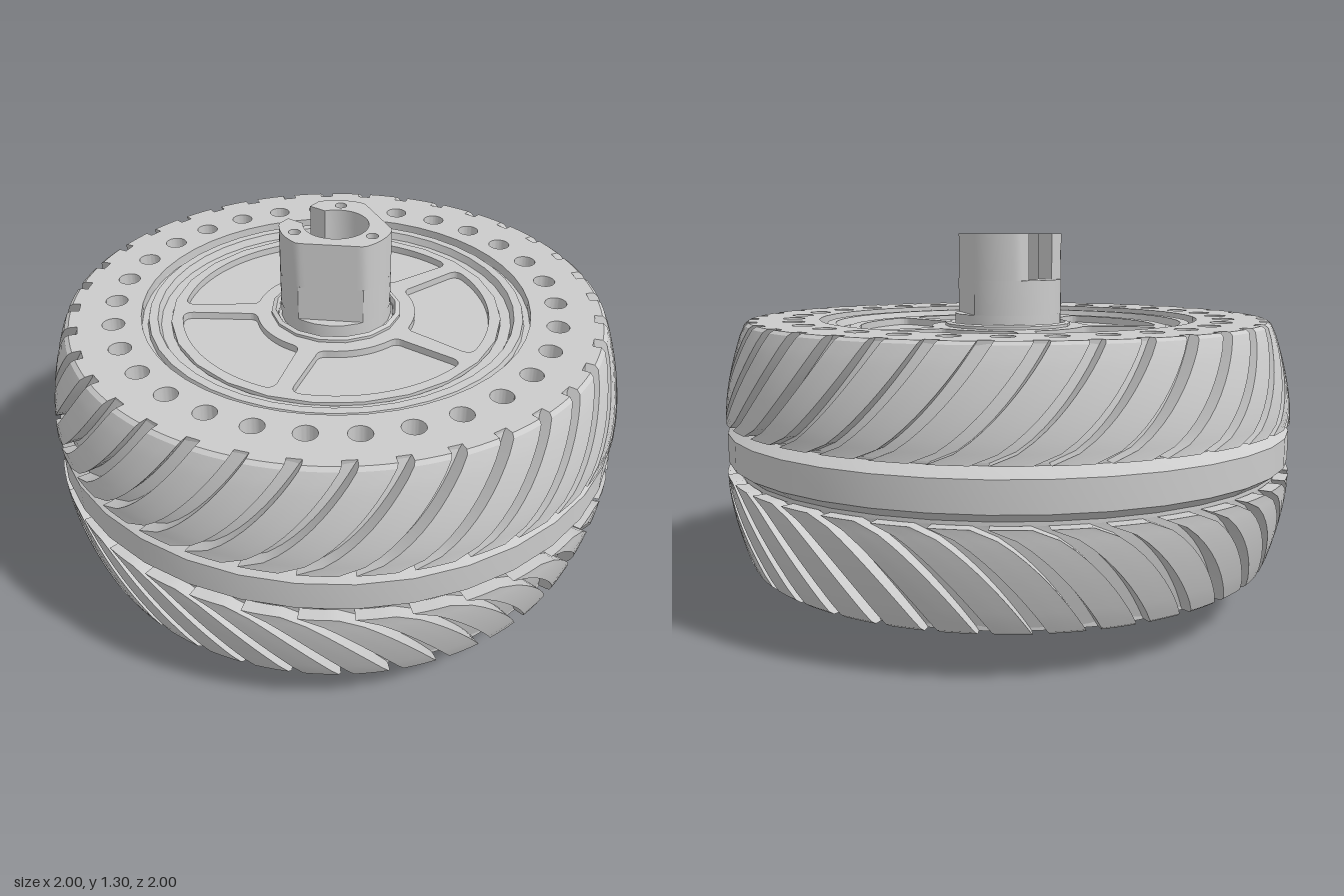
import * as THREE from 'three';
import { toCreasedNormals } from 'three/addons/utils/BufferGeometryUtils.js';

const PI = Math.PI, TAU = PI * 2;
const MID = 0.578, HALF = 0.425; // tyre centre height and half width
const material = new THREE.MeshStandardMaterial({ color: 0xcccccc });

function addMesh(parent, name, geometry, crease = 0.5) {
  const mesh = new THREE.Mesh(toCreasedNormals(geometry, crease), material);
  mesh.name = name;
  parent.add(mesh);
  return mesh;
}

const polar = (r, a) => new THREE.Vector2(r * Math.cos(a), r * Math.sin(a));

function circle(r, x = 0, y = 0, Type = THREE.Path) {
  return new Type().absarc(x, y, r, 0, TAU, false);
}

// Upright prism from a plan shape (shape y points to -z)
function prism(shape, y0, y1, curveSegments = 12) {
  return new THREE.ExtrudeGeometry(shape, { depth: y1 - y0, bevelEnabled: false, curveSegments })
    .rotateX(-PI / 2).translate(0, y0, 0);
}

function lathe(points, segments) {
  return new THREE.LatheGeometry(points.map(([r, y]) => new THREE.Vector2(r, y)), segments);
}

// Swept tread blocks with grooves between them; s = 1 upper half, -1 lower half
function treadGeometry(s) {
  const count = 36, steps = 10, near = 0.09;
  const outer = t => 1 - 0.075 * t ** 1.7, inner = t => 0.955 - 0.075 * t ** 1.5;
  const rows = [{ t: 0, out: inner(0), inn: inner(0) }];
  for (let k = 0; k < steps; k++) {
    const t = k / steps * 0.96;
    rows.push({ t, out: outer(t), inn: inner(t) });
  }
  rows.push({ t: 0.97, out: 0.926, inn: inner(0.97) },
    { t: 1, out: 0.912, inn: 0.88 }, { t: 1, out: 0.88, inn: 0.88 });
  const pitch = [[0, 0], [0, 1], [0.23, 1], [0.46, 1], [0.7, 1], [0.7, 0], [0.85, 0]];
  const columns = [];
  for (let i = 0; i < count; i++) pitch.forEach(([u, raised]) => columns.push([(i + u) / count * TAU, raised]));
  columns.push([TAU, 0]);
  const point = ([a, raised], { t, out, inn }) => {
    const r = raised ? out : inn, angle = a + 0.36 * t ** 0.65;
    return new THREE.Vector3(r * Math.sin(angle), MID + s * (near + (HALF - near) * t), r * Math.cos(angle));
  };
  const positions = [];
  const triangle = (a, b, c) => {
    if (new THREE.Triangle(a, b, c).getArea() < 1e-8) return;
    (s > 0 ? [a, b, c] : [a, c, b]).forEach(p => positions.push(p.x, p.y, p.z));
  };
  for (let i = 0; i < columns.length - 1; i++) {
    for (let j = 0; j < rows.length - 1; j++) {
      const a = point(columns[i], rows[j]), b = point(columns[i + 1], rows[j]);
      const c = point(columns[i + 1], rows[j + 1]), d = point(columns[i], rows[j + 1]);
      triangle(a, b, c);
      triangle(a, c, d);
    }
  }
  const geometry = new THREE.BufferGeometry();
  geometry.setAttribute('position', new THREE.Float32BufferAttribute(positions, 3));
  return geometry;
}

// Rounded sector-shaped window between two ribs
function windowPath(a, b) {
  const ri = 0.275, ro = 0.53, c = 0.035, gi = 0.03 / ri, go = 0.03 / ro;
  const path = new THREE.Path();
  const to = (r, t) => { const p = polar(r, t); path.lineTo(p.x, p.y); };
  const corner = (r, t, r2, t2) => {
    const p = polar(r, t), q = polar(r2, t2);
    path.quadraticCurveTo(p.x, p.y, q.x, q.y);
  };
  const start = polar(ri + c, a + gi);
  path.moveTo(start.x, start.y);
  to(ro - c, a + go);
  corner(ro, a + go, ro, a + go + c / ro);
  path.absarc(0, 0, ro, a + go + c / ro, b - go - c / ro, false);
  corner(ro, b - go, ro - c, b - go);
  to(ri + c, b - gi);
  corner(ri, b - gi, ri, b - gi - c / ri);
  path.absarc(0, 0, ri, b - gi - c / ri, a + gi + c / ri, true);
  corner(ri, a + gi, ri + c, a + gi);
  return path;
}

// Radius of the axle outline, cut by flats facing the given angles
function axleRadius(angle, flats) {
  return flats.reduce((r, f) => {
    const c = Math.cos(angle - f);
    return c > 0 ? Math.min(r, 0.155 / c) : r;
  }, 0.19);
}

function axleOutline(flats, from, to, n = 72) {
  return Array.from({ length: n + 1 }, (_, i) => {
    const a = from + (to - from) * i / n;
    return polar(axleRadius(a, flats), a);
  });
}

function buildTyre() {
  const tyre = new THREE.Group();
  tyre.name = 'tyre';
  // Body with a ring of through holes
  const ring = circle(0.885, 0, 0, THREE.Shape);
  ring.holes.push(circle(0.67));
  for (let i = 0; i < 30; i++) {
    const p = polar(0.763, PI / 2 + i * TAU / 30);
    ring.holes.push(circle(0.038, p.x, p.y));
  }
  addMesh(tyre, 'tyreBody', prism(ring, MID - HALF, MID + HALF, 24));
  addMesh(tyre, 'upperTread', treadGeometry(1));
  addMesh(tyre, 'lowerTread', treadGeometry(-1));
  addMesh(tyre, 'centreBand', lathe([[0.955, 0.485], [0.955, 0.5], [0.995, 0.53], [0.995, 0.63],
    [0.955, 0.66], [0.955, 0.672]], 36), 0.4);
  return tyre;
}

function buildHub() {
  const hub = new THREE.Group();
  hub.name = 'hub';
  // Stepped rim and ribbed cover on the upper side
  addMesh(hub, 'upperRim', lathe([[0.68, 1.0], [0.67, 0.97], [0.65, 0.97], [0.645, 0.99],
    [0.615, 0.99], [0.605, 0.965], [0.57, 0.965], [0.565, 0.95]], 40));
  const cover = circle(0.57, 0, 0, THREE.Shape);
  cover.holes.push(circle(0.2));
  for (let i = 0; i < 5; i++) {
    const a = -PI / 2 + i * TAU / 5;
    cover.holes.push(windowPath(a, a + TAU / 5));
  }
  addMesh(hub, 'ribbedCover', prism(cover, 0.93, 0.975));
  addMesh(hub, 'coverFloor', new THREE.CircleGeometry(0.6, 40).rotateX(-PI / 2).translate(0, 0.95, 0));
  addMesh(hub, 'axleCollar', lathe([[0.225, 0.95], [0.225, 0.985], [0.21, 0.99], [0.2, 0.97], [0.185, 0.97]], 16));

  // Domed cap on the lower side
  addMesh(hub, 'lowerCap', lathe([[0.305, 0], [0.335, 0.012], [0.355, 0.045], [0.375, 0.095], [0.41, 0.135],
    [0.475, 0.158], [0.64, 0.162], [0.645, 0.18], [0.66, 0.18], [0.675, 0.153]], 28), 0.6);
  const plate = circle(0.306, 0, 0, THREE.Shape);
  for (let i = 0; i < 3; i++) {
    const p = polar(0.2, PI / 2 + i * TAU / 3);
    plate.holes.push(circle(0.042, p.x, p.y));
    // Small screw recessed in each hole
    const screw = addMesh(hub, 'capScrew', new THREE.CylinderGeometry(0.025, 0.025, 0.03, 16));
    screw.position.set(p.x, 0.045, -p.y);
  }
  addMesh(hub, 'capPlate', prism(plate, 0, 0.05, 14));
  addMesh(hub, 'capPlateFloor', new THREE.CircleGeometry(0.3, 28).rotateX(PI / 2).translate(0, 0.05, 0));
  return hub;
}

function buildAxle() {
  const axle = new THREE.Group();
  axle.name = 'axle';
  const back = PI / 2, sides = [-PI / 6, PI * 7 / 6];
  const bore = 0.11, slot = 0.06;

  const base = circle(0.19, 0, 0, THREE.Shape);
  base.holes.push(circle(bore));
  addMesh(axle, 'axleBase', prism(base, 0.93, 1.02));

  const middle = new THREE.Shape(axleOutline(sides, 0, TAU).slice(0, -1));
  middle.holes.push(circle(bore));
  addMesh(axle, 'axleMiddle', prism(middle, 1.02, 1.14));

  // Top section is open to the back and carries three screw holes
  const gapOut = Math.atan(slot / 0.155), gapIn = Math.asin(slot / bore);
  const outline = axleOutline([...sides, back], back + gapOut, back + TAU - gapOut);
  for (let i = 0; i <= 32; i++) {
    outline.push(polar(bore, back + TAU - gapIn - (TAU - 2 * gapIn) * i / 32));
  }
  const top = new THREE.Shape(outline);
  for (let i = 0; i < 3; i++) {
    const p = polar(0.148, -PI / 2 + i * TAU / 3);
    top.holes.push(circle(0.02, p.x, p.y));
  }
  addMesh(axle, 'axleTop', prism(top, 1.14, 1.3, 8));

  // Motor pin end at the bottom of the bore
  const floor = circle(0.112, 0, 0, THREE.Shape);
  floor.holes.push(circle(0.045));
  addMesh(axle, 'boreFloor', prism(floor, 0.94, 0.98));
  return axle;
}

export function createModel() {
  const model = new THREE.Group();
  model.name = 'hubMotorWheel';
  model.add(buildTyre(), buildHub(), buildAxle());
  return model;
}
